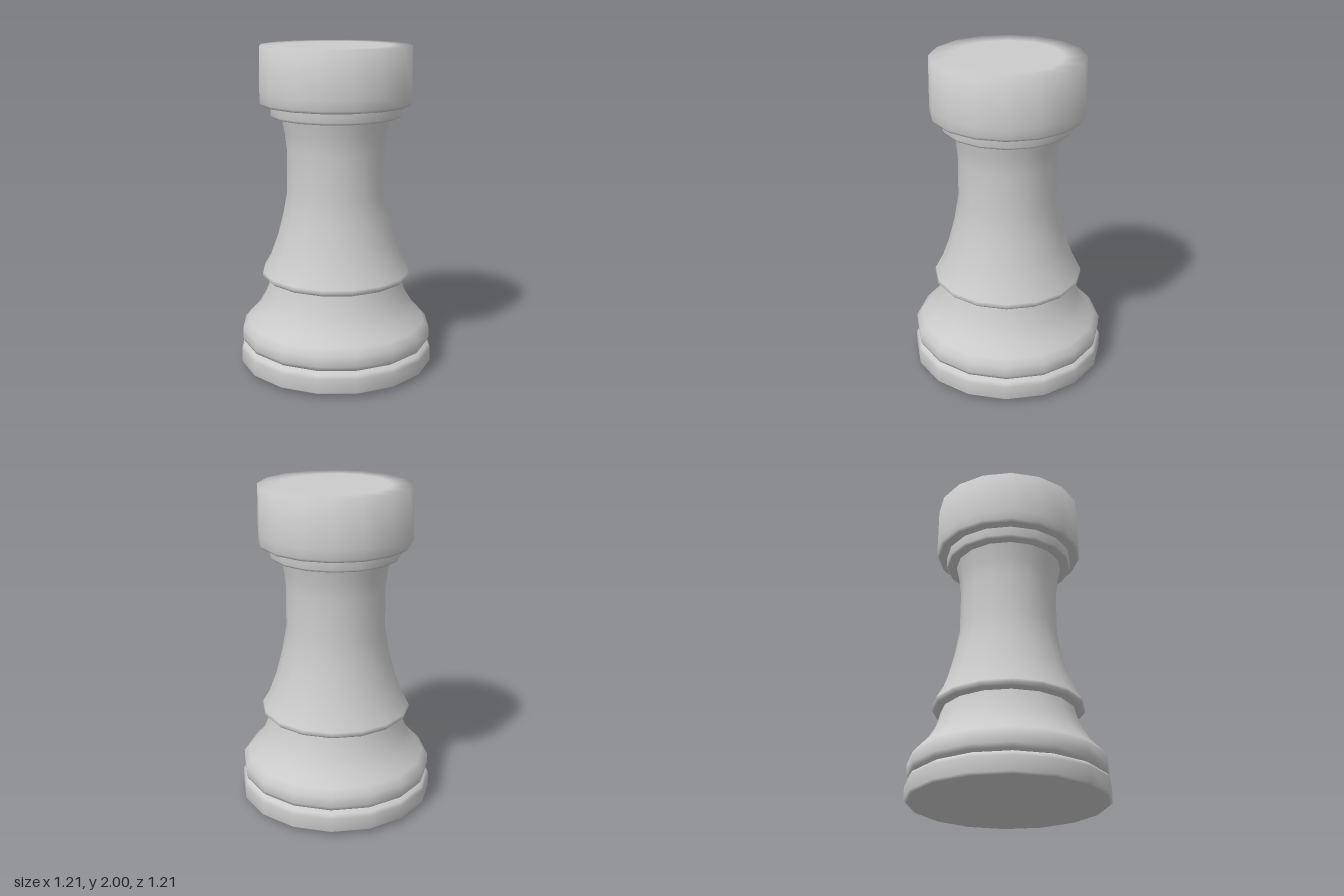
import * as THREE from 'three';

const SIDES = 16;

// Profiles as [radius, height], bottom to top; neighbours meet at sharp breaks.
const PARTS = {
  underside: [[0, 0], [0.59, 0.018]],
  foot: [[0.59, 0.018], [0.605, 0.03], [0.605, 0.115], [0.592, 0.138], [0.565, 0.153]],
  lowerBell: [[0.565, 0.153], [0.585, 0.165], [0.595, 0.19], [0.595, 0.25], [0.56, 0.29],
    [0.5, 0.355], [0.455, 0.43], [0.425, 0.51], [0.41, 0.568]],
  shaft: [[0.41, 0.568], [0.45, 0.575], [0.466, 0.592], [0.46, 0.612], [0.42, 0.68], [0.372, 0.81],
    [0.333, 0.96], [0.305, 1.12], [0.303, 1.38], [0.315, 1.48], [0.335, 1.575]],
  collar: [[0.335, 1.575], [0.39, 1.576], [0.4, 1.59], [0.4, 1.645]],
  crown: [[0.4, 1.645], [0.45, 1.648], [0.464, 1.665], [0.464, 1.72], [0.46, 2], [0.33, 2], [0, 2]],
};

export function createModel() {
  const group = new THREE.Group();
  group.name = 'rook';
  const material = new THREE.MeshStandardMaterial({ color: 0xcccccc });
  for (const [name, profile] of Object.entries(PARTS)) {
    const points = profile.map(([r, y]) => new THREE.Vector2(r, y));
    const mesh = new THREE.Mesh(new THREE.LatheGeometry(points, SIDES), material);
    mesh.name = name;
    group.add(mesh);
  }
  return group;
}
